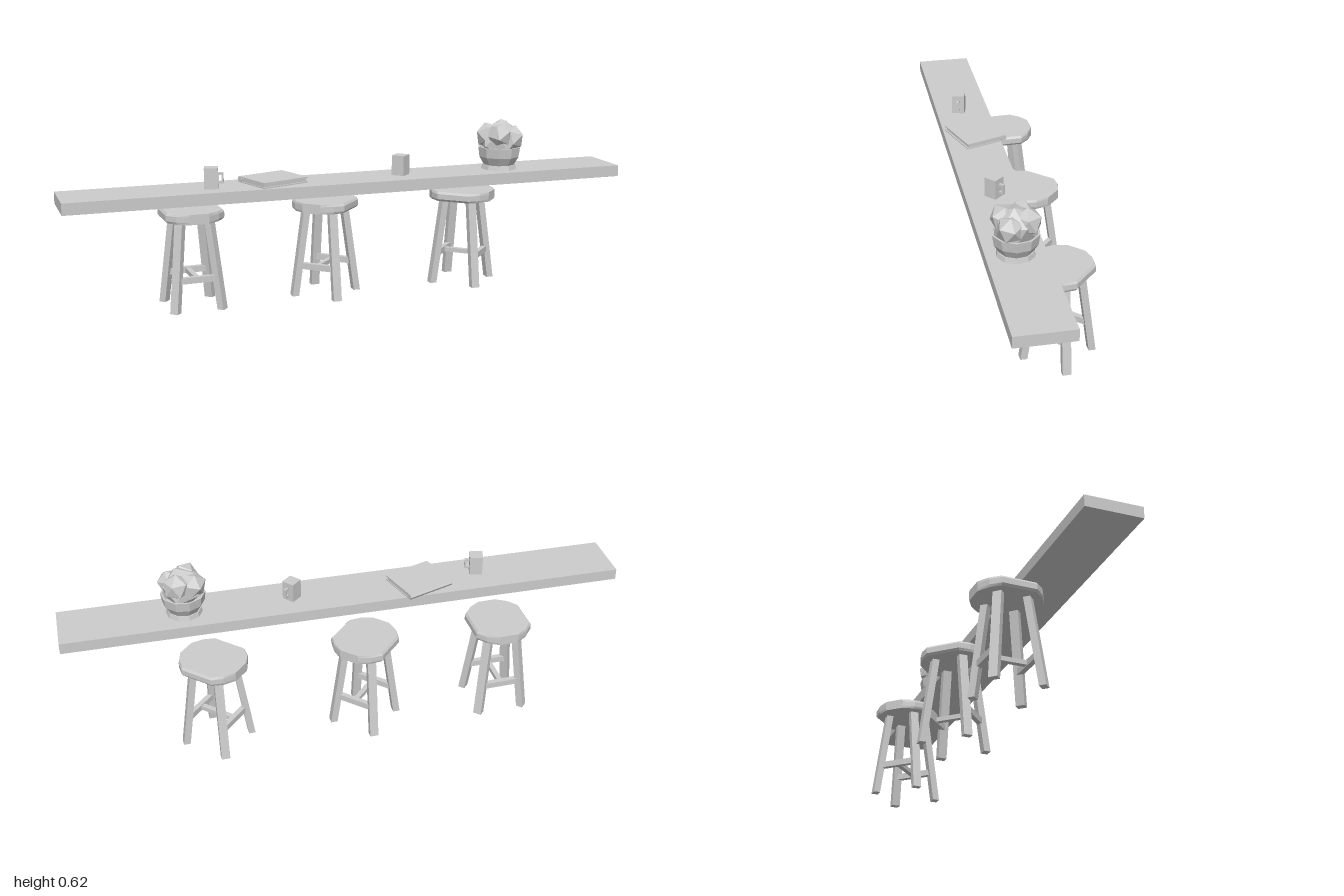
import * as THREE from 'three';

const mat = new THREE.MeshStandardMaterial({ color: 0xcccccc, flatShading: true });

function add(parent, name, geometry, x = 0, y = 0, z = 0) {
  const mesh = new THREE.Mesh(geometry, mat);
  mesh.name = name;
  mesh.position.set(x, y, z);
  parent.add(mesh);
  return mesh;
}
const box = (parent, name, w, h, d, x, y, z) => add(parent, name, new THREE.BoxGeometry(w, h, d), x, y, z);

function group(parent, name, x, y, z, turn) {
  const g = new THREE.Group();
  g.name = name;
  g.position.set(x, y, z);
  g.rotation.y = THREE.MathUtils.degToRad(turn);
  parent.add(g);
  return g;
}

// Twelve-sided seat slab, bevelled along its two long sides
function seatGeometry() {
  const quarter = [[0.115, 0.035], [0.092, 0.075], [0.06, 0.103]];
  const back = quarter.map(([x, z]) => [-x, z]).reverse();
  const half = [...quarter, ...back];
  const outline = [...half, ...half.map(([x, z]) => [-x, -z])];
  const rings = [[0.315, 0.94], [0.323, 1], [0.342, 1], [0.35, 0.94]];
  const n = outline.length, pos = [], idx = [];
  for (const [y, s] of rings) for (const [x, z] of outline) pos.push(x, y, z * s);
  for (let r = 0; r < rings.length - 1; r++) {
    for (let i = 0; i < n; i++) {
      const a = r * n + i, b = r * n + (i + 1) % n;
      idx.push(a, a + n, b, b, a + n, b + n);
    }
  }
  const top = (rings.length - 1) * n;
  for (let i = 1; i < n - 1; i++) idx.push(0, i, i + 1, top, top + i + 1, top + i);
  const g = new THREE.BufferGeometry();
  g.setAttribute('position', new THREE.Float32BufferAttribute(pos, 3));
  g.setIndex(idx);
  g.computeVertexNormals();
  return g;
}

// Leg leaning outward: the box is sheared so its foot stays flat
function legGeometry() {
  const g = new THREE.BoxGeometry(0.024, 0.32, 0.03);
  g.translate(0, 0.16, 0);
  const p = g.attributes.position;
  for (let i = 0; i < p.count; i++) p.setX(i, p.getX(i) + 0.118 - 0.046 * p.getY(i) / 0.32);
  g.computeVertexNormals();
  return g;
}

function addStool(parent, x, turn) {
  const stool = group(parent, 'stool', x, 0, -0.06, turn);
  add(stool, 'seat', seatGeometry());
  for (let i = 0; i < 4; i++) {
    add(stool, 'leg', legGeometry()).rotation.y = Math.PI / 4 + i * Math.PI / 2;
  }
  // H-shaped stretcher
  for (const s of [-1, 1]) box(stool, 'sideStretcher', 0.018, 0.022, 0.145, s * 0.071, 0.111, 0);
  box(stool, 'middleStretcher', 0.142, 0.016, 0.018, 0, 0.111, 0);
}

function addMug(parent, x, z, turn) {
  const mug = group(parent, 'mug', x, 0.45, z, turn);
  box(mug, 'mugBody', 0.046, 0.07, 0.046, 0, 0.035, 0);
  for (const y of [0.02, 0.048]) box(mug, 'handleArm', 0.018, 0.008, 0.01, 0.031, y, 0);
  box(mug, 'handleGrip', 0.007, 0.036, 0.01, 0.038, 0.034, 0);
}

function addBook(parent) {
  const book = group(parent, 'book', -0.275, 0.45, 0.085, 19);
  for (const y of [0.002, 0.018]) box(book, 'cover', 0.18, 0.004, 0.15, 0, y, 0);
  box(book, 'pages', 0.174, 0.012, 0.144, 0, 0.01, -0.003);
  const spine = add(book, 'spine', new THREE.CylinderGeometry(0.0115, 0.0115, 0.18, 6), 0, 0.01, -0.073);
  spine.rotation.z = Math.PI / 2;
}

function addBowl(parent) {
  const bowl = group(parent, 'fruitBowl', 0.565, 0.45, 0.096, 10);
  add(bowl, 'foot', new THREE.CylinderGeometry(0.06, 0.064, 0.016, 10), 0, 0.008, 0);
  const profile = [[0, 0.015], [0.055, 0.015], [0.073, 0.045], [0.078, 0.08], [0.071, 0.08], [0.06, 0.05], [0, 0.04]];
  add(bowl, 'bowl', new THREE.LatheGeometry(profile.map(([r, y]) => new THREE.Vector2(r, y)), 10));
  // Heaped faceted fruit
  const fruit = [
    [0.074, 0, 0.103, 0.002, 0.4],
    [0.048, 0.028, 0.125, -0.028, 1.1],
    [0.048, -0.03, 0.118, -0.026, 2.0],
    [0.046, -0.022, 0.125, 0.032, 0.2],
    [0.046, 0.033, 0.112, 0.03, 2.7],
  ];
  for (const [r, x, y, z, a] of fruit) {
    add(bowl, 'fruit', new THREE.IcosahedronGeometry(r, 0), x, y, z).rotation.set(a, a * 2, a * 0.5);
  }
}

export function createModel() {
  const model = new THREE.Group();
  model.name = 'barCounter';
  box(model, 'counterTop', 2, 0.04, 0.196, 0, 0.43, 0.095);
  addStool(model, -0.533, 92);
  addStool(model, -0.043, 47);
  addStool(model, 0.494, -43);
  addMug(model, -0.497, 0.108, -15);
  addMug(model, 0.185, 0.095, 42);
  addBook(model);
  addBowl(model);
  return model;
}
